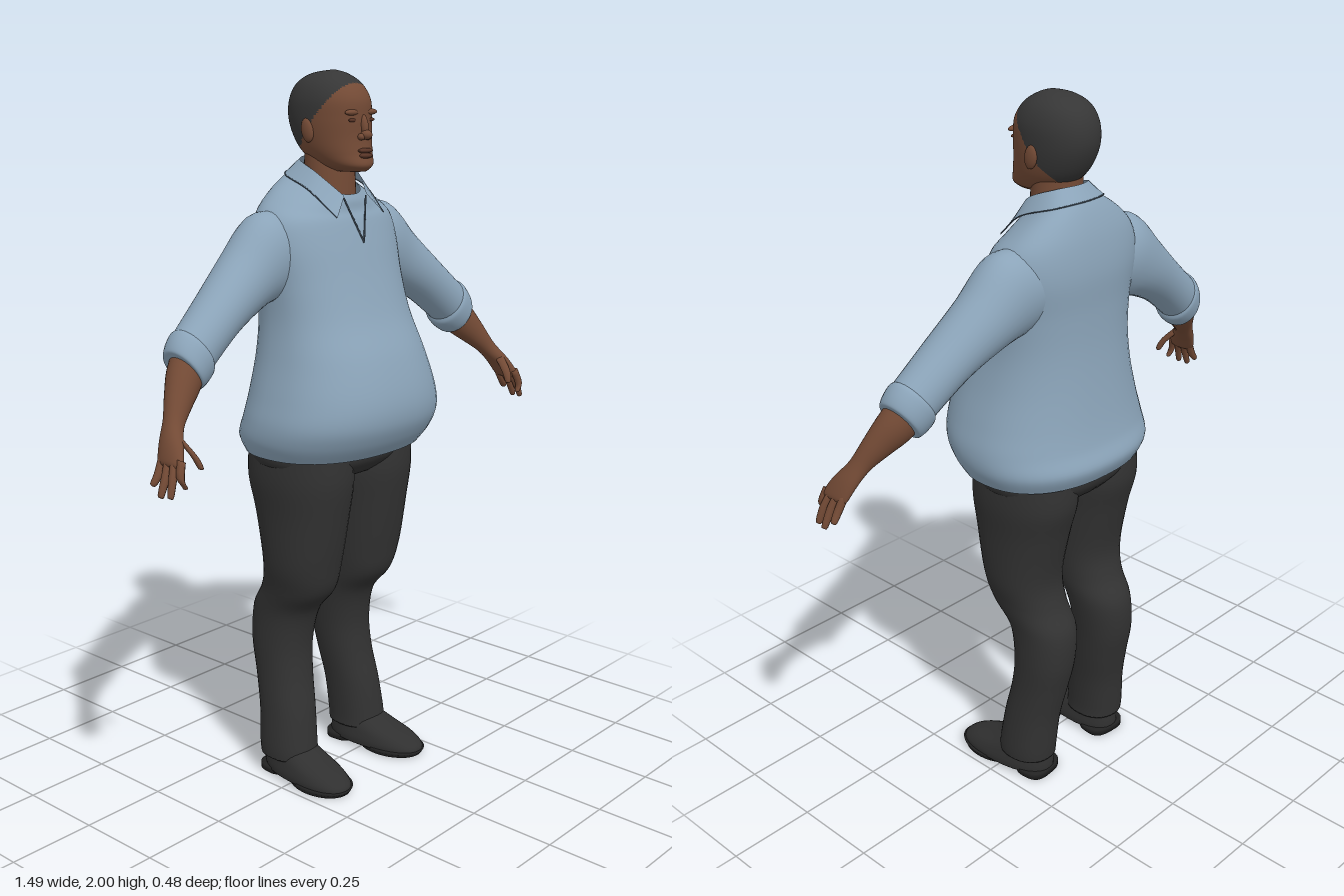
import * as THREE from 'three';

const mat = (name, color, double) => {
  const m = new THREE.MeshStandardMaterial({ color });
  m.name = name;
  if (double) m.side = THREE.DoubleSide;
  return m;
};

// Smooth interpolation through rows of numbers
function catmull(rows, t) {
  const n = rows.length - 1, f = t * n, i = Math.min(Math.floor(f), n - 1), s = f - i;
  const at = k => rows[Math.max(0, Math.min(n, k))];
  return rows[i].map((p1, k) => {
    const p0 = at(i - 1)[k], p2 = at(i + 1)[k], p3 = at(i + 2)[k];
    return p1 + 0.5 * s * (p2 - p0 + s * (2 * p0 - 5 * p1 + 4 * p2 - p3 + s * (3 * (p1 - p2) + p3 - p0)));
  });
}

// Skin over superellipse rings; row = [x, y, z, radiusU, radiusZ, angle of U in degrees, tilt]
function loft(rows, { sides = 32, steps = 6, power = 2, start = true, end = true } = {}) {
  const pos = [], idx = [], count = (rows.length - 1) * steps;
  const sp = c => Math.sign(c) * Math.abs(c) ** (2 / power);
  for (let i = 0; i <= count; i++) {
    const [x, y, z, a, b, ang = 0, tilt = 0] = catmull(rows, i / count);
    const r = ang * Math.PI / 180;
    for (let j = 0; j < sides; j++) {
      const t = j / sides * Math.PI * 2, u = a * sp(Math.cos(t)), v = b * sp(Math.sin(t));
      pos.push(x + u * Math.cos(r), y + u * Math.sin(r) - tilt * v, z + v);
    }
  }
  for (let i = 0; i < count; i++) for (let j = 0; j < sides; j++) {
    const k = (j + 1) % sides, a = i * sides + j, b = i * sides + k;
    idx.push(a, b, a + sides, b, b + sides, a + sides);
  }
  const cap = (row, base, flip) => {
    const c = pos.length / 3;
    pos.push(row[0], row[1], row[2]);
    for (let j = 0; j < sides; j++) {
      const p = base + j, q = base + (j + 1) % sides;
      idx.push(c, flip ? q : p, flip ? p : q);
    }
  };
  if (start) cap(rows[0], 0, true);
  if (end) cap(rows[rows.length - 1], count * sides, false);
  const g = new THREE.BufferGeometry();
  g.setAttribute('position', new THREE.Float32BufferAttribute(pos, 3));
  g.setIndex(idx);
  g.computeVertexNormals();
  return g;
}

// Horizontal ring from half width, front z and back z
const ring = (x, y, w, front, back, tilt = 0) => [x, y, (front + back) / 2, w, (front - back) / 2, 0, tilt];

function mirrored(group) {
  const out = new THREE.Group();
  group.updateMatrixWorld(true);
  group.traverse(o => {
    if (!o.isMesh) return;
    const g = o.geometry.clone().applyMatrix4(o.matrixWorld).scale(-1, 1, 1), ix = g.index.array;
    for (let i = 0; i < ix.length; i += 3) [ix[i], ix[i + 1]] = [ix[i + 1], ix[i]];
    const m = new THREE.Mesh(g, o.material);
    m.name = o.name.replace('left', 'right');
    out.add(m);
  });
  return out;
}

export function createModel() {
  const model = new THREE.Group();
  model.name = 'standingMan';
  const skin = mat('skin', 0x734a35), lip = mat('darkSkin', 0x573426), hair = mat('hair', 0x363636);
  const shirt = mat('shirtBlue', 0x8ba4b9, true), seam = mat('seam', 0x4b5a68);
  const cloth = mat('trouserBlack', 0x323232), leather = mat('shoeBlack', 0x303030), rubber = mat('sole', 0x222222);
  const add = (parent, name, geo, material) => {
    const m = new THREE.Mesh(geo, material);
    m.name = name;
    parent.add(m);
    return m;
  };
  const ball = (parent, name, material, p, s) => {
    const m = add(parent, name, new THREE.SphereGeometry(1, 20, 14), material);
    m.position.set(...p);
    m.scale.set(...s);
    return m;
  };

  // Shirt body, open at the neck and hem
  add(model, 'shirtBody', loft([
    ring(0, 1.715, 0.078, 0.045, -0.112, 0.5),
    ring(0, 1.70, 0.11, 0.052, -0.135, 0.45),
    ring(0, 1.665, 0.175, 0.056, -0.16, 0.3),
    ring(0, 1.62, 0.225, 0.068, -0.18, 0.1),
    ring(0, 1.55, 0.24, 0.088, -0.19),
    ring(0, 1.45, 0.23, 0.12, -0.186),
    ring(0, 1.35, 0.23, 0.157, -0.187),
    ring(0, 1.25, 0.248, 0.205, -0.195),
    ring(0, 1.15, 0.275, 0.236, -0.208),
    ring(0, 1.08, 0.292, 0.238, -0.222),
    ring(0, 1.025, 0.29, 0.215, -0.24),
    ring(0, 0.98, 0.27, 0.18, -0.222)
  ], { sides: 48, power: 2.3, start: false, end: false }), shirt);

  // Folded collar: a strip between an upper and a lower edge
  const edge = half => new THREE.CatmullRomCurve3([
    ...half, ...half.slice(0, -1).reverse().map(([x, y, z]) => [-x, y, z])
  ].map(p => new THREE.Vector3(...p)));
  const upper = edge([[0.045, 1.675, 0.058], [0.08, 1.735, -0.01], [0.064, 1.765, -0.085], [0, 1.772, -0.115]]);
  const lower = edge([[0.095, 1.622, 0.078], [0.113, 1.692, -0.01], [0.092, 1.728, -0.115], [0, 1.735, -0.143]]);
  const collar = new THREE.PlaneGeometry(1, 1, 40, 1), cp = collar.attributes.position;
  for (let i = 0; i <= 40; i++) {
    const a = upper.getPoint(i / 40), b = lower.getPoint(i / 40);
    cp.setXYZ(i, a.x, a.y, a.z);
    cp.setXYZ(i + 41, b.x, b.y, b.z);
  }
  collar.computeVertexNormals();
  add(model, 'collar', collar, shirt);
  add(model, 'collarSeam', new THREE.TubeGeometry(lower, 48, 0.002, 5), seam);
  for (const s of [-1, 1]) {
    const line = new THREE.LineCurve3(new THREE.Vector3(s * 0.045, 1.67, 0.056), new THREE.Vector3(0, 1.55, 0.09));
    add(model, 'neckOpeningSeam', new THREE.TubeGeometry(line, 4, 0.0025, 5), seam);
  }

  // Neck
  add(model, 'neck', loft([
    ring(0, 1.82, 0.07, 0.02, -0.10), ring(0, 1.75, 0.073, 0.03, -0.10), ring(0, 1.65, 0.078, 0.036, -0.11)
  ]), skin);

  // Head, with hair as a second material behind the hairline
  const headGeo = loft([
    ring(0, 2.0, 0.004, -0.015, -0.025),
    ring(0, 1.99, 0.042, 0.018, -0.085),
    ring(0, 1.965, 0.074, 0.057, -0.128),
    ring(0, 1.925, 0.092, 0.083, -0.15),
    ring(0, 1.875, 0.095, 0.087, -0.153),
    ring(0, 1.825, 0.09, 0.088, -0.135),
    ring(0, 1.785, 0.08, 0.094, -0.105),
    ring(0, 1.755, 0.062, 0.102, -0.06),
    ring(0, 1.738, 0.035, 0.088, -0.01)
  ], { sides: 96, steps: 10, power: 2.15 });
  const line = [[1.76, -0.095], [1.80, -0.075], [1.84, -0.035], [1.88, -0.006], [1.93, 0.035], [1.965, 0.055], [2.1, 0.06]];
  const hairline = y => {
    const i = Math.max(1, line.findIndex(p => y < p[0]));
    const [a, b] = [line[i - 1], line[i]];
    return y < a[0] ? -1 : a[1] + (b[1] - a[1]) * (y - a[0]) / (b[0] - a[0]);
  };
  const hp = headGeo.attributes.position, parts = [[], []], hi = headGeo.index.array;
  for (let i = 0; i < hi.length; i += 3) {
    const t = [hi[i], hi[i + 1], hi[i + 2]];
    const mid = f => t.reduce((s, k) => s + f(k), 0) / 3;
    parts[mid(k => hp.getZ(k)) < hairline(mid(k => hp.getY(k))) ? 1 : 0].push(...t);
  }
  headGeo.setIndex([...parts[0], ...parts[1]]);
  headGeo.addGroup(0, parts[0].length, 0);
  headGeo.addGroup(parts[0].length, parts[1].length, 1);
  add(model, 'headAndHair', headGeo, [skin, hair]);

  // Face
  ball(model, 'noseBridge', skin, [0, 1.858, 0.088], [0.011, 0.03, 0.012]).rotation.x = -0.2;
  ball(model, 'noseTip', skin, [0, 1.834, 0.096], [0.016, 0.013, 0.016]);
  ball(model, 'upperLip', lip, [0, 1.793, 0.092], [0.027, 0.007, 0.014]);
  ball(model, 'lowerLip', lip, [0, 1.780, 0.094], [0.024, 0.008, 0.013]);
  for (const s of [-1, 1]) {
    ball(model, 'nostril', skin, [s * 0.014, 1.829, 0.09], [0.01, 0.009, 0.011]);
    ball(model, 'eye', lip, [s * 0.037, 1.872, 0.079], [0.015, 0.005, 0.005]);
    ball(model, 'brow', skin, [s * 0.037, 1.892, 0.077], [0.026, 0.008, 0.01]);
    ball(model, 'ear', skin, [s * 0.093, 1.845, -0.03], [0.011, 0.032, 0.02]).rotation.x = -0.2;
  }

  // Trouser seat
  add(model, 'trouserSeat', loft([
    ring(0, 1.06, 0.25, 0.12, -0.18), ring(0, 0.99, 0.253, 0.133, -0.2),
    ring(0, 0.945, 0.24, 0.125, -0.195), ring(0, 0.905, 0.17, 0.08, -0.16)
  ], { power: 2.3 }), cloth);

  const side = new THREE.Group();
  side.name = 'leftLimbs';

  // Sleeve and rolled cuff
  add(side, 'leftSleeve', loft([
    [0.15, 1.53, -0.07, 0.105, 0.085, 82], [0.225, 1.52, -0.065, 0.118, 0.088, 74],
    [0.31, 1.468, -0.06, 0.09, 0.082, 60], [0.42, 1.395, -0.045, 0.071, 0.073, 57],
    [0.535, 1.305, -0.03, 0.067, 0.064, 57]
  ]), shirt);
  add(side, 'leftCuff', loft([
    [0.515, 1.318, -0.032, 0.064, 0.06, 57], [0.524, 1.31, -0.031, 0.075, 0.069, 57],
    [0.545, 1.29, -0.028, 0.074, 0.068, 57], [0.562, 1.273, -0.025, 0.066, 0.062, 57],
    [0.564, 1.271, -0.025, 0.054, 0.05, 57]
  ]), shirt);

  // Forearm, palm and digits
  add(side, 'leftForearm', loft([
    [0.53, 1.30, -0.03, 0.055, 0.052, 57], [0.575, 1.25, -0.012, 0.05, 0.048, 48],
    [0.615, 1.205, 0.01, 0.038, 0.038, 42], [0.65, 1.162, 0.032, 0.026, 0.031, 36],
    [0.68, 1.12, 0.056, 0.021, 0.04, 30], [0.70, 1.082, 0.073, 0.016, 0.044, 28],
    [0.705, 1.07, 0.076, 0.01, 0.038, 28]
  ]), skin);
  const digit = (name, a, b, c, r) => add(side, name, loft([
    [...a, r, r, 28], [...b, r * 0.95, r * 0.95, 28], [...c, r * 0.75, r * 0.75, 28],
    [c[0] + 0.002, c[1] - 0.005, c[2], r * 0.25, r * 0.25, 28]
  ], { sides: 10, steps: 3 }), skin);
  [[0.70, 1.028, 0.122], [0.733, 1.008, 0.107], [0.738, 1.006, 0.078], [0.733, 1.028, 0.046]].forEach((tip, i) => {
    const z = 0.109 - i * 0.022;
    digit('leftFinger', [0.697, 1.09, z], [0.718 - (i ? 0 : 0.008), 1.05, (z + tip[2]) / 2 + 0.003], tip, 0.0115);
  });
  digit('leftThumb', [0.668, 1.135, 0.07], [0.655, 1.095, 0.108], [0.648, 1.067, 0.122], 0.013);

  // Trouser leg
  add(side, 'leftTrouserLeg', loft([
    ring(0.128, 0.98, 0.115, 0.125, -0.19), ring(0.125, 0.90, 0.122, 0.128, -0.192),
    ring(0.125, 0.80, 0.114, 0.113, -0.165), ring(0.127, 0.66, 0.105, 0.087, -0.138),
    ring(0.122, 0.575, 0.093, 0.064, -0.155), ring(0.12, 0.50, 0.085, 0.004, -0.195),
    ring(0.126, 0.40, 0.08, -0.018, -0.198), ring(0.132, 0.30, 0.076, -0.012, -0.178),
    ring(0.142, 0.20, 0.074, 0.008, -0.158), ring(0.15, 0.10, 0.075, 0.022, -0.15),
    ring(0.15, 0.062, 0.075, 0.025, -0.146)
  ], { power: 2.2 }), cloth);

  // Shoe with sole and heel, toe turned slightly out
  const shoe = new THREE.Group();
  shoe.position.set(0.153, 0, 0);
  shoe.rotation.y = 0.09;
  side.add(shoe);
  add(shoe, 'leftShoe', loft([
    ring(0, 0.10, 0.05, 0.0, -0.12), ring(0, 0.075, 0.06, 0.06, -0.135),
    ring(0, 0.05, 0.068, 0.135, -0.14), ring(0, 0.03, 0.073, 0.168, -0.142), ring(0, 0.014, 0.073, 0.175, -0.142)
  ], { power: 2.3 }), leather);
  add(shoe, 'leftSole', loft([ring(0, 0.018, 0.075, 0.18, -0.04), ring(0, 0.002, 0.072, 0.17, -0.035)], { steps: 1 }), rubber);
  add(shoe, 'leftHeel', loft([ring(0, 0.02, 0.064, -0.03, -0.145), ring(0, 0, 0.062, -0.045, -0.145)], { steps: 1, power: 3 }), rubber);

  const other = mirrored(side);
  other.name = 'rightLimbs';
  model.add(side, other);
  return model;
}
